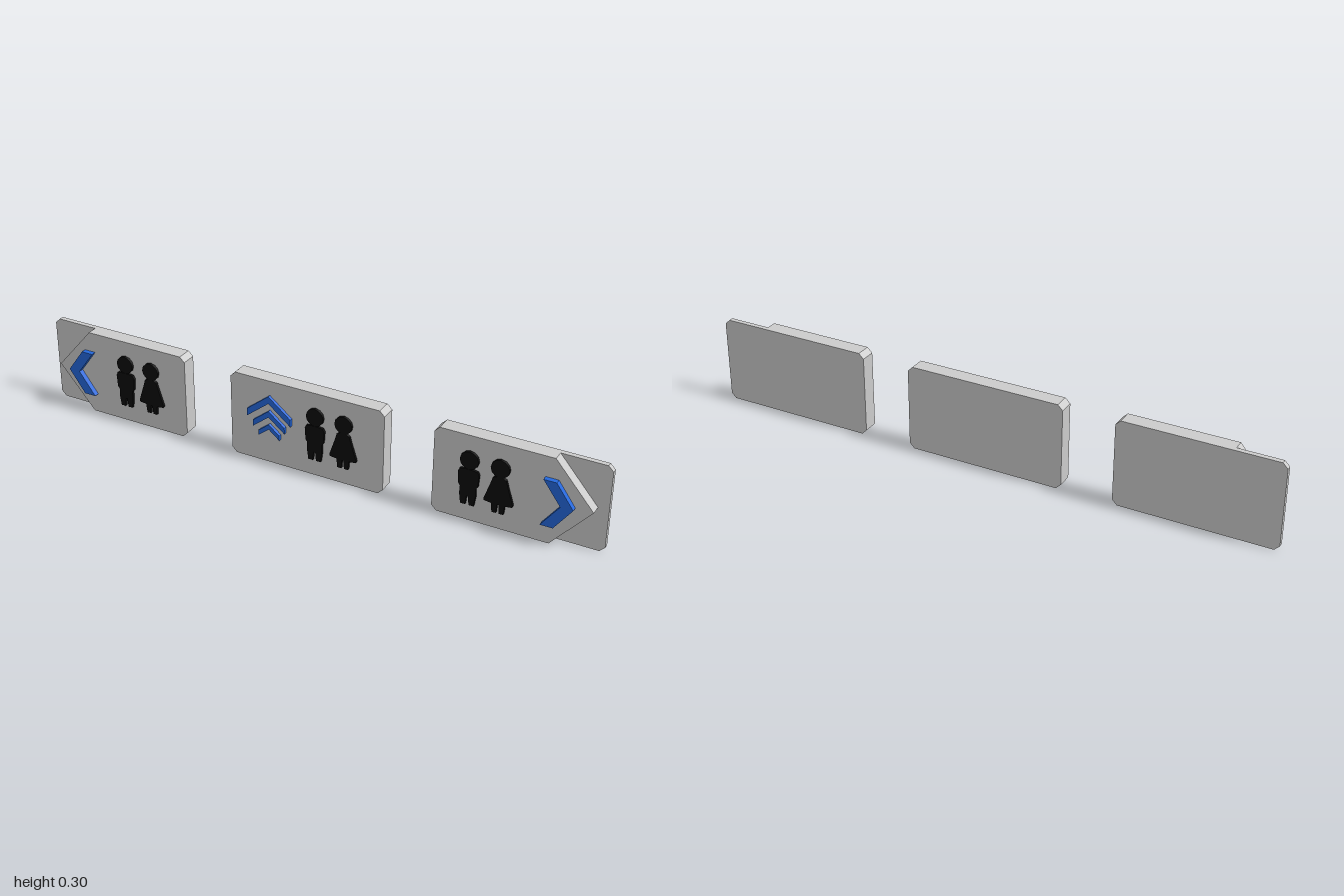
import * as THREE from 'three';

const H = 0.3, C = 0.017;                     // sign height, corner chamfer
const BACK = -0.035, STEP = -0.018, FACE = 0.018;

const grey = new THREE.MeshStandardMaterial({ color: 0xcccccc, flatShading: true });
const blue = new THREE.MeshStandardMaterial({ color: 0x2468dc });
const black = new THREE.MeshStandardMaterial({ color: 0x0a0a0a });

// Extrude an outline of [x, y] points from z0 to z1
function slab(name, points, z0, z1, material) {
  const shape = new THREE.Shape(points.map(([x, y]) => new THREE.Vector2(x, y)));
  const geometry = new THREE.ExtrudeGeometry(shape, { depth: z1 - z0, bevelEnabled: false });
  geometry.translate(0, 0, z0);
  const mesh = new THREE.Mesh(geometry, material);
  mesh.name = name;
  return mesh;
}

// Rectangle with chamfered corners
const plate = (x0, x1) => [
  [x0 + C, 0], [x1 - C, 0], [x1, C], [x1, H - C],
  [x1 - C, H], [x0 + C, H], [x0, H - C], [x0, C],
];

// Right half outlines of the two figures, from the neck down to the crotch
const boyHalf = [
  [0.012, 0.186], [0.03, 0.183], [0.035, 0.172], [0.032, 0.13], [0.026, 0.122],
  [0.027, 0.095], [0.022, 0.06], [0.006, 0.06], [0.003, 0.09],
];
const girlHalf = [
  [0.01, 0.188], [0.022, 0.182], [0.03, 0.155], [0.048, 0.1], [0.046, 0.094],
  [0.022, 0.091], [0.019, 0.06], [0.005, 0.06], [0.003, 0.09],
];

function figure(name, half, x) {
  const group = new THREE.Group();
  group.name = name;
  const mirrored = half.map(([px, py]) => [-px, py]).reverse();
  group.add(slab('body', [...half, ...mirrored], FACE - 0.002, 0.027, black));
  const head = new THREE.Mesh(new THREE.CylinderGeometry(0.031, 0.031, 0.011, 12), black);
  head.name = 'head';
  head.rotation.x = Math.PI / 2;
  head.position.set(0, 0.217, 0.0215);
  group.add(head);
  group.position.x = x;
  return group;
}

// End sign: thin back plate, raised arrow-shaped panel, large chevron
function endSign(name, s, inner, chevronTip, boyX, girlX) {
  const group = new THREE.Group();
  group.name = name;
  const flip = (pts) => pts.map(([x, y]) => [s * x, y]);
  group.add(slab('backPlate', flip(plate(inner, 1)), BACK, STEP, grey));
  group.add(slab('arrowPanel', flip([
    [inner + C, 0], [0.835, 0], [0.965, H / 2], [0.835, H],
    [inner + C, H], [inner, H - C], [inner, C],
  ]), STEP, FACE, grey));
  const t = chevronTip;
  group.add(slab('chevron', flip([
    [t, 0.15], [t - 0.058, 0.23], [t - 0.1, 0.23], [t - 0.041, 0.15],
    [t - 0.1, 0.07], [t - 0.058, 0.07],
  ]), FACE - 0.002, 0.036, blue));
  group.add(figure('boyFigure', boyHalf, boyX), figure('girlFigure', girlHalf, girlX));
  return group;
}

// Middle sign: plain plate with three upward chevrons
function middleSign() {
  const group = new THREE.Group();
  group.name = 'middleSign';
  group.add(slab('plate', plate(-0.278, 0.276), BACK, FACE, grey));
  const cx = -0.132;
  for (const [tip, halfWidth, thick] of [[0.249, 0.08, 0.026], [0.195, 0.058, 0.022], [0.146, 0.039, 0.018]]) {
    const end = tip - halfWidth * 0.8;
    group.add(slab('upChevron', [
      [cx, tip], [cx - halfWidth, end], [cx - halfWidth, end - thick],
      [cx, tip - thick], [cx + halfWidth, end - thick], [cx + halfWidth, end],
    ], FACE - 0.002, 0.029, blue));
  }
  group.add(figure('boyFigure', boyHalf, 0.035), figure('girlFigure', girlHalf, 0.137));
  return group;
}

export function createModel() {
  const model = new THREE.Group();
  model.name = 'directionSigns';
  model.add(
    endSign('rightSign', -1, 0.455, 0.915, -0.69, -0.588),
    middleSign(),
    endSign('leftSign', 1, 0.445, 0.908, 0.567, 0.668),
  );
  return model;
}
